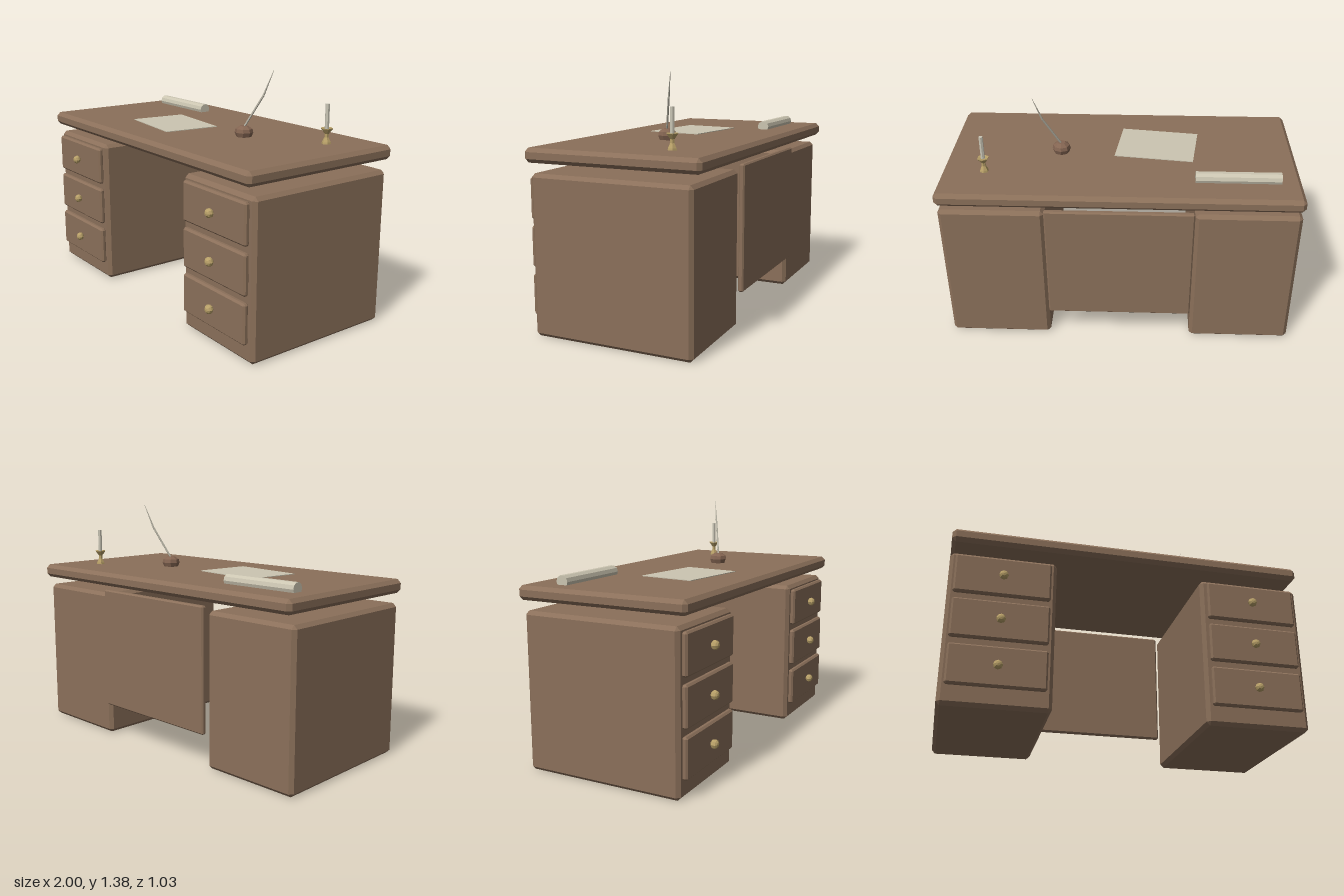
import * as THREE from 'three';
import { ConvexGeometry } from 'three/addons/geometries/ConvexGeometry.js';

function material(name, color) {
  const m = new THREE.MeshStandardMaterial({ color, flatShading: true });
  m.name = name;
  return m;
}

// Box given by its limits, with all edges and corners chamfered
function chamferBox(x0, x1, y0, y1, z0, z1, c) {
  const points = [];
  for (const x of [0, 1]) for (const y of [0, 1]) for (const z of [0, 1]) {
    const X = x ? x1 : x0, Y = y ? y1 : y0, Z = z ? z1 : z0;
    const dx = x ? -c : c, dy = y ? -c : c, dz = z ? -c : c;
    points.push(
      new THREE.Vector3(X, Y + dy, Z + dz),
      new THREE.Vector3(X + dx, Y, Z + dz),
      new THREE.Vector3(X + dx, Y + dy, Z));
  }
  return new ConvexGeometry(points);
}

function lathe(profile, sides) {
  return new THREE.LatheGeometry(profile.map(([r, y]) => new THREE.Vector2(r, y)), sides);
}

// Tapered rod between two points
function rod(a, b, ra, rb, sides) {
  const dir = b.clone().sub(a);
  const g = new THREE.CylinderGeometry(rb, ra, dir.length(), sides);
  g.applyQuaternion(new THREE.Quaternion().setFromUnitVectors(
    new THREE.Vector3(0, 1, 0), dir.clone().normalize()));
  const mid = a.clone().add(b).multiplyScalar(0.5);
  return g.translate(mid.x, mid.y, mid.z);
}

export function createModel() {
  const group = new THREE.Group();
  group.name = 'desk';
  const wood = material('wood', 0x8b705a);
  const brass = material('brass', 0xb8a068);
  const paper = material('paper', 0xcbc5b1);
  const clay = material('inkpot brown', 0x846552);
  const wax = material('candle wax', 0xc8c4b4);
  const quillGrey = material('quill', 0xb9b5a6);

  function add(name, geometry, mat, parent = group) {
    const mesh = new THREE.Mesh(geometry, mat);
    mesh.name = name;
    parent.add(mesh);
    return mesh;
  }

  // Desk top and back panel
  add('tabletop', chamferBox(-1, 1, 0.922, 1, -0.512, 0.485, 0.021), wood);
  add('backPanel', chamferBox(-0.413, 0.41, 0.193, 0.897, -0.5, -0.468, 0.008), wood);

  // Drawer pedestals
  for (const side of [-1, 1]) {
    const pedestal = new THREE.Group();
    pedestal.name = side < 0 ? 'rightPedestal' : 'leftPedestal';
    group.add(pedestal);
    const [x0, x1] = side < 0 ? [-1, -0.417] : [0.413, 1];
    add('cabinet', chamferBox(x0, x1, 0, 0.87, -0.47, 0.445, 0.02), wood, pedestal);
    const cx = side < 0 ? -0.71 : 0.705;
    for (const y of [0.215, 0.475, 0.733]) {
      add('drawer', chamferBox(cx - 0.26, cx + 0.26, y - 0.111, y + 0.111, 0.44, 0.474, 0.01), wood, pedestal);
      const knob = add('knob', new THREE.SphereGeometry(0.026, 8, 6), brass, pedestal);
      knob.rotation.x = Math.PI / 2;
      knob.scale.y = 0.85;
      knob.position.set(cx, y, 0.493);
    }
  }

  // Loose sheet
  const sheet = add('sheet', new THREE.BoxGeometry(0.453, 0.004, 0.333), paper);
  sheet.position.set(-0.205, 1.002, 0.078);
  sheet.rotation.y = -0.122;

  // Rolled scroll, lying along x
  const scroll = add('scroll', new THREE.CylinderGeometry(0.035, 0.035, 0.47, 10), paper);
  scroll.rotation.z = Math.PI / 2;
  scroll.position.set(-0.65, 1.017, -0.307);

  // Inkpot
  const pot = add('inkpot', lathe([[0, 0], [0.044, 0], [0.053, 0.025], [0.048, 0.045], [0.024, 0.061], [0, 0.061]], 8), clay);
  pot.position.set(0.35, 1, -0.015);

  // Bent quill
  const quill = new THREE.Group();
  quill.name = 'quill';
  group.add(quill);
  const base = new THREE.Vector3(0.345, 1.04, -0.01);
  const bend = new THREE.Vector3(0.445, 1.238, -0.073);
  const tip = new THREE.Vector3(0.49, 1.38, -0.106);
  add('quillShaft', rod(base, bend, 0.006, 0.006, 6), quillGrey, quill);
  add('quillTip', rod(bend, tip, 0.006, 0.001, 6), quillGrey, quill);

  // Candlestick and candle
  const stick = add('candlestick', lathe([[0, 0], [0.026, 0], [0.024, 0.01], [0.012, 0.035], [0.012, 0.055],
    [0.033, 0.082], [0.033, 0.086], [0, 0.08]], 6), brass);
  stick.position.set(0.762, 1, -0.25);
  const candle = add('candle', new THREE.CylinderGeometry(0.012, 0.012, 0.14, 6), wax);
  candle.position.set(0.762, 1.146, -0.25);

  return group;
}
